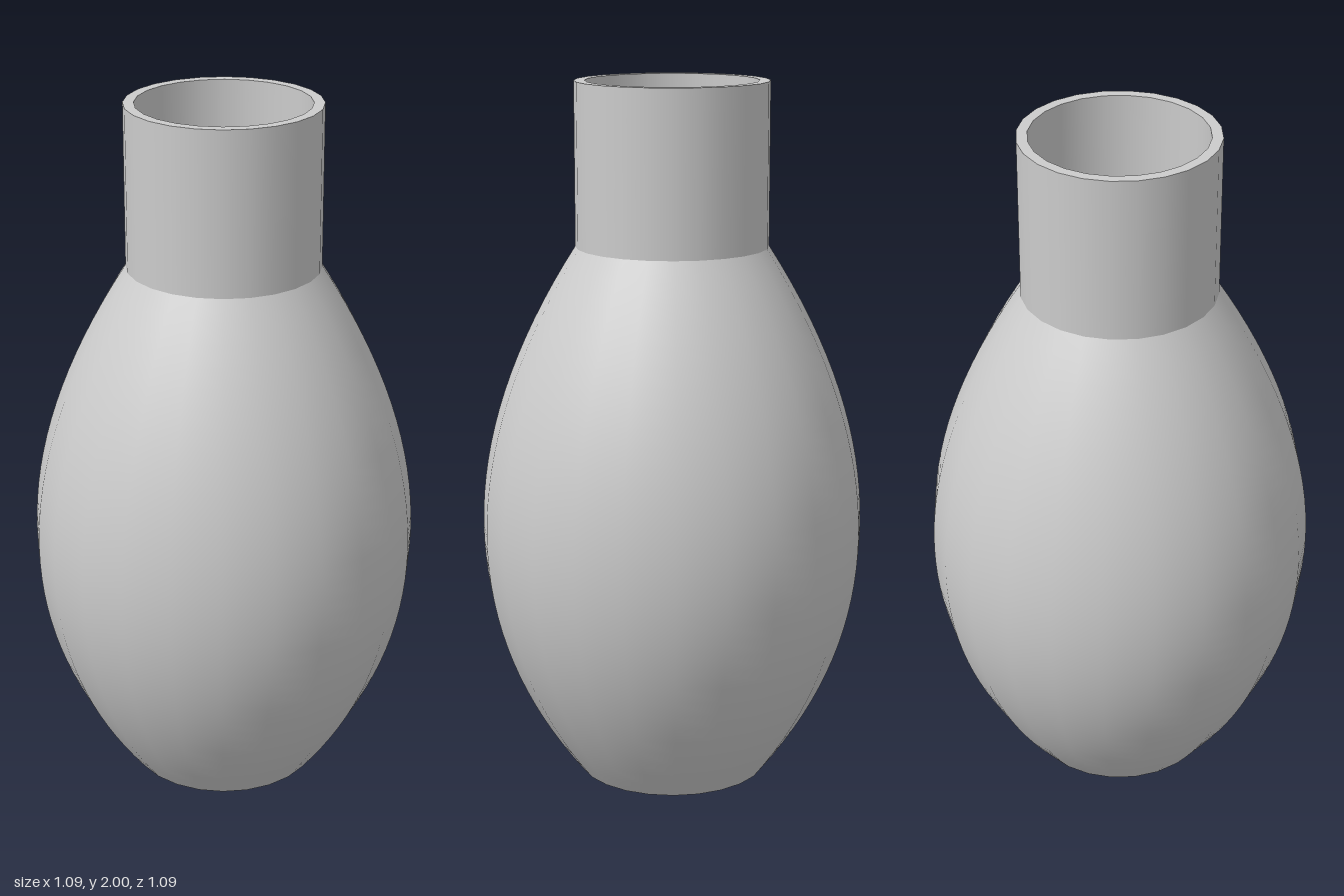
import * as THREE from 'three';

const SIDES = 24;
const WALL = 0.03;
const NECK_R = 0.272;
const SHOULDER_Y = 1.54;
const TOP_Y = 2;

export function createModel() {
  const group = new THREE.Group();
  group.name = 'vase';
  const material = new THREE.MeshStandardMaterial({ color: 0xcccccc });

  // Each strip is its own lathe, so edges between strips stay sharp.
  const revolve = (name, points) => {
    const profile = points.map(([r, y]) => new THREE.Vector2(r, y));
    const mesh = new THREE.Mesh(new THREE.LatheGeometry(profile, SIDES), material);
    mesh.name = name;
    group.add(mesh);
  };

  // Belly curve, bulging slightly below the middle
  const belly = (r, y) => new THREE.QuadraticBezierCurve(
    new THREE.Vector2(r, y),
    new THREE.Vector2(r + 0.546, 0.69),
    new THREE.Vector2(r, SHOULDER_Y),
  ).getPoints(32).map((p) => [p.x, p.y]);

  const innerR = NECK_R - WALL;

  // Outside, from the base up
  revolve('base', [[0, 0], [NECK_R, 0]]);
  revolve('body', belly(NECK_R, 0));
  revolve('neck', [[NECK_R, SHOULDER_Y], [NECK_R, TOP_Y]]);
  revolve('rim', [[NECK_R, TOP_Y], [innerR, TOP_Y]]);

  // Inside, from the rim down
  revolve('neckInside', [[innerR, TOP_Y], [innerR, SHOULDER_Y]]);
  revolve('bodyInside', belly(innerR, WALL).reverse());
  revolve('floor', [[innerR, WALL], [0, WALL]]);

  return group;
}
